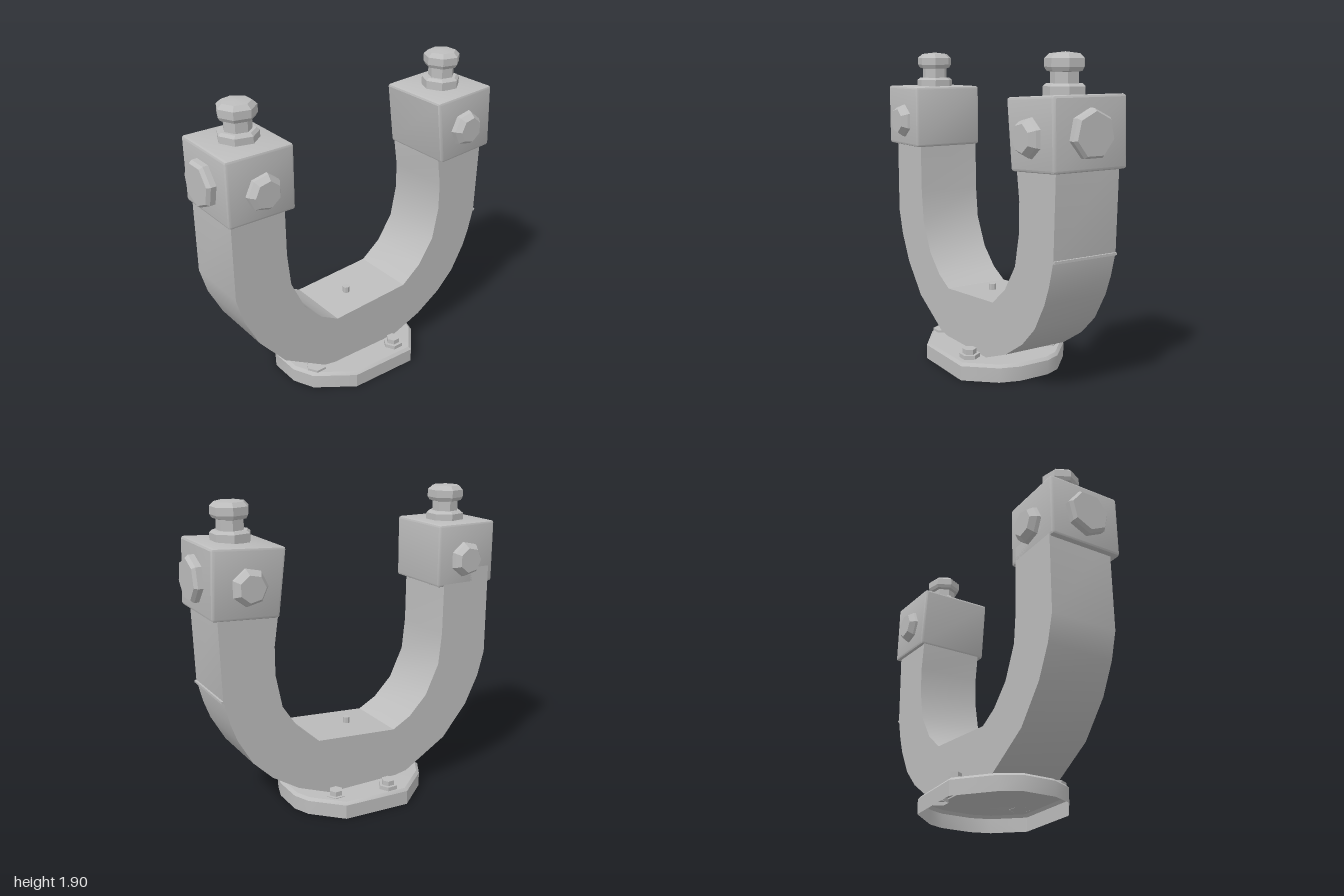
import * as THREE from 'three';
import { toCreasedNormals } from 'three/addons/utils/BufferGeometryUtils.js';
import { RoundedBoxGeometry } from 'three/addons/geometries/RoundedBoxGeometry.js';

const steel = new THREE.MeshStandardMaterial({ color: 0xbcbcbc });
steel.name = 'steel grey';
steel.side = THREE.DoubleSide;

function add(parent, name, geometry, crease = 0.5) {
  const mesh = new THREE.Mesh(toCreasedNormals(geometry, crease), steel);
  mesh.name = name;
  parent.add(mesh);
  return mesh;
}

// Faceted turned part along +y from [radius, height] pairs
function turned(points, sides) {
  return new THREE.LatheGeometry(points.map(([r, y]) => new THREE.Vector2(r, y)), sides);
}

// Bolt head seated at a position, its axis turned to a direction
function bolt(parent, name, points, sides, position, direction = [0, 1, 0]) {
  const mesh = add(parent, name, turned(points, sides), 0.25);
  mesh.position.set(...position);
  mesh.quaternion.setFromUnitVectors(new THREE.Vector3(0, 1, 0), new THREE.Vector3(...direction));
  return mesh;
}

// Hollow base plate, open underneath
function basePlate() {
  const outline = [[-0.395, 0.2], [-0.22, 0.41], [-0.1, 0.48], [0.1, 0.48], [0.23, 0.42], [0.385, 0.2],
    [0.39, -0.24], [0.22, -0.39], [0.1, -0.43], [-0.1, -0.43], [-0.2, -0.39], [-0.37, -0.22]];
  const rings = [[1, 0], [1, 0.088], [0.96, 0.105], [0, 0.11]];
  const n = outline.length, positions = [], index = [];
  for (const [s, y] of rings) for (const [x, z] of outline) positions.push(x * s, y, z * s);
  for (let r = 0; r < rings.length - 1; r++) {
    for (let i = 0; i < n; i++) {
      const a = r * n + i, b = r * n + (i + 1) % n;
      index.push(a, b, b + n);
      if (r < rings.length - 2) index.push(a, b + n, a + n);
      }
  }
  // Close the top with a fan to the middle ring
  const g = new THREE.BufferGeometry();
  g.setAttribute('position', new THREE.Float32BufferAttribute(positions, 3));
  g.setIndex(index);
  return g;
}

// U-shaped band, profile given as [z, y]
function band() {
  const outer = [[0.915, 1.4], [0.915, 0.83], [0.87, 0.67], [0.78, 0.49], [0.61, 0.29], [0.32, 0.12], [0.2, 0.1],
    [-0.22, 0.1], [-0.45, 0.19], [-0.62, 0.3], [-0.74, 0.42], [-0.83, 0.58], [-0.87, 0.69], [-0.905, 0.83], [-0.92, 1.4]];
  const inner = [[-0.56, 1.4], [-0.56, 1.27], [-0.585, 1.1], [-0.585, 0.93], [-0.545, 0.73], [-0.44, 0.57], [-0.31, 0.465],
    [0.22, 0.425], [0.34, 0.49], [0.46, 0.61], [0.55, 0.8], [0.572, 1.0], [0.577, 1.4]];
  const shape = new THREE.Shape([...outer, ...inner].map(([z, y]) => new THREE.Vector2(z, y)));
  const g = new THREE.ExtrudeGeometry(shape, { depth: 0.415, bevelEnabled: false });
  return g.rotateY(-Math.PI / 2).translate(0.215, 0, 0);
}

// Clamp block; the tilt rule leans and tapers it
function block(tilted) {
  const g = new RoundedBoxGeometry(tilted ? 0.475 : 0.46, 0.385, 0.415, 1, 0.015);
  if (tilted) {
    const p = g.attributes.position;
    for (let i = 0; i < p.count; i++) {
      const y = p.getY(i), z = p.getZ(i);
      p.setY(i, y * 1.025 - z * 0.065);
      p.setZ(i, z * (1 + y * 0.2) + y * 0.085);
    }
  }
  return g;
}

export function createModel() {
  const model = new THREE.Group();
  add(model, 'basePlate', basePlate(), 0.6);
  add(model, 'band', band(), 0.45);

  // Plate bolts, with one flat washer under the front of the band
  const plateBolt = [[0.062, 0], [0.062, 0.025], [0.042, 0.025], [0.042, 0.055], [0, 0.055]];
  for (const [x, z, y] of [[-0.24, -0.22, 0.085], [0.29, -0.17, 0.105], [-0.315, 0.11, 0.105]])
    bolt(model, 'plateBolt', plateBolt, 6, [x, y, z]);
  bolt(model, 'plateWasher', [[0.065, 0], [0.065, 0.015], [0, 0.015]], 6, [0.18, 0.105, 0.36]);

  // Pin in the bottom of the U and thin seam on the rear of the band
  bolt(model, 'pin', [[0.022, 0], [0.022, 0.06], [0, 0.06]], 8, [0.02, 0.42, 0.005]);
  add(model, 'rearSeam', new THREE.BoxGeometry(0.415, 0.014, 0.02)).position.set(0.0075, 0.825, -0.907);

  const topBolt = [[0.118, 0], [0.118, 0.05], [0.1, 0.065], [0.08, 0.065], [0.08, 0.125], [0.1, 0.13],
    [0.112, 0.15], [0.112, 0.195], [0.085, 0.22], [0, 0.23]];
  const sideBolt = [[0.112, 0], [0.104, 0.025], [0.078, 0.06], [0, 0.06]];
  const endBolt = [[0.135, 0], [0.135, 0.035], [0.12, 0.055], [0, 0.055]];

  for (const s of [1, -1]) {
    const head = new THREE.Group();
    head.name = s > 0 ? 'frontClamp' : 'rearClamp';
    model.add(head);
    const cx = s > 0 ? 0.03 : 0.015;
    add(head, 'clampBlock', block(s < 0), 0.4).position.set(cx, s > 0 ? 1.49 : 1.476, s * 0.74);
    bolt(head, 'topBolt', topBolt, 7, [0.024, 1.672, s * 0.728]);
    bolt(head, 'leftBolt', sideBolt, 7, [0.252, 1.46, s * 0.733], [1, 0, 0]);
    bolt(head, 'rightBolt', sideBolt, 7, [s > 0 ? -0.197 : -0.212, 1.46, s * 0.733], [-1, 0, 0]);
    bolt(head, 'endBolt', endBolt, 7, [0.025, 1.485, s * 0.945], [0, 0, s]);
  }
  return model;
}
